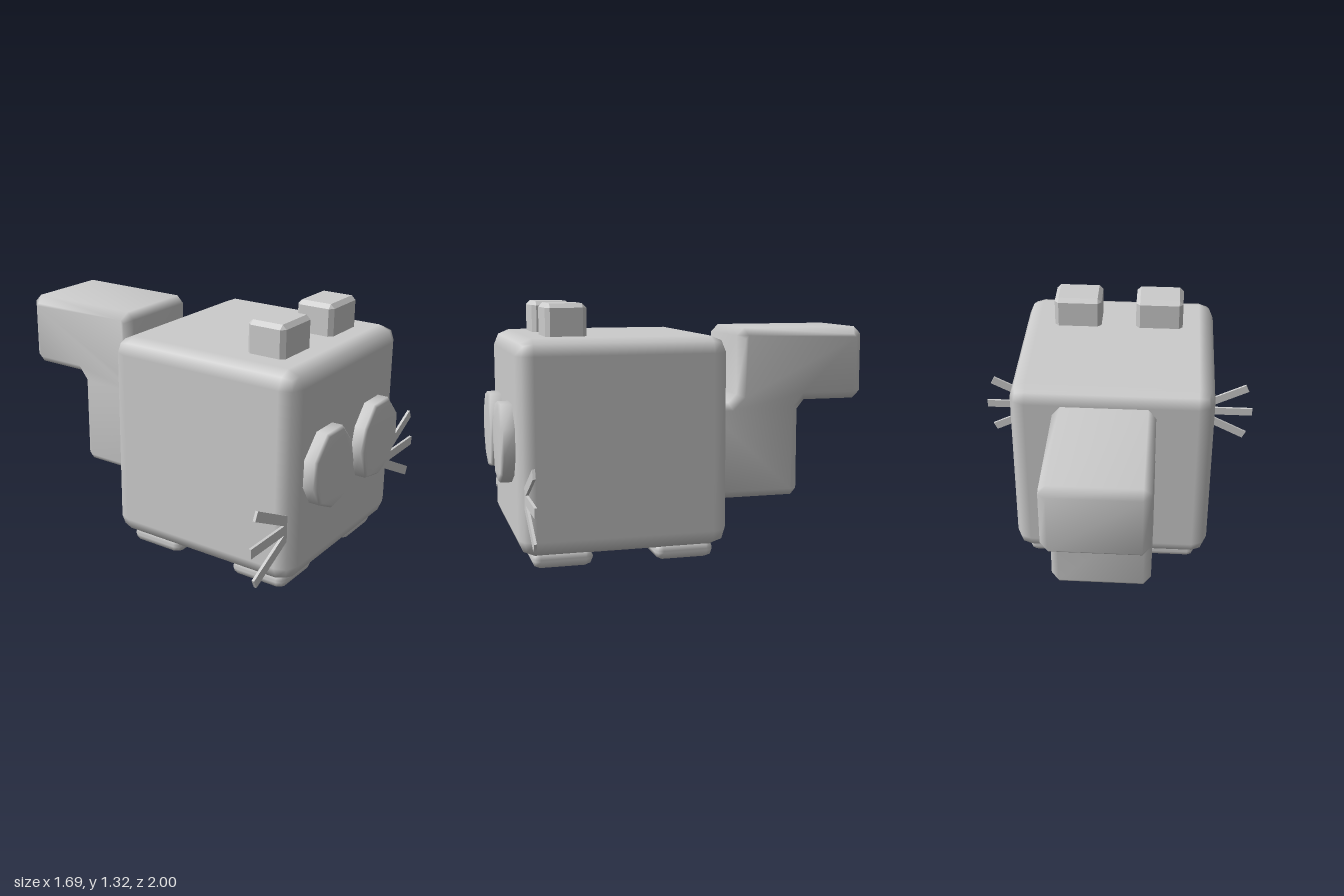
import * as THREE from 'three';
import { mergeVertices } from 'three/addons/utils/BufferGeometryUtils.js';
import { RoundedBoxGeometry } from 'three/addons/geometries/RoundedBoxGeometry.js';
import { ConvexGeometry } from 'three/addons/geometries/ConvexGeometry.js';

const MID = -0.012; // body centre line in x

// Bevelled extrusion that keeps its outline, with normals smoothed all over
function smoothExtrude(points, thickness, bevel) {
  const shape = new THREE.Shape(points.map(([x, y]) => new THREE.Vector2(x, y)));
  let geo = new THREE.ExtrudeGeometry(shape, {
    depth: thickness - 2 * bevel, bevelEnabled: true, bevelThickness: bevel,
    bevelSize: bevel, bevelOffset: -bevel, bevelSegments: 1,
  });
  geo.translate(0, 0, bevel - thickness / 2);
  geo.deleteAttribute('normal');
  geo.deleteAttribute('uv');
  geo = mergeVertices(geo, 1e-4);
  geo.computeVertexNormals();
  return geo;
}

// Box with flat 45 degree chamfers
function chamferBox(w, h, d, c) {
  const pts = [];
  for (const x of [-1, 1]) for (const y of [-1, 1]) for (const z of [-1, 1]) {
    for (let face = 0; face < 3; face++) {
      const s = [w, h, d].map((v, i) => v / 2 - (i === face ? 0 : c));
      pts.push(new THREE.Vector3(x * s[0], y * s[1], z * s[2]));
    }
  }
  return new ConvexGeometry(pts);
}

export function createModel() {
  const model = new THREE.Group();
  const grey = new THREE.MeshStandardMaterial({ color: 0xcccccc });
  grey.name = 'plain grey';

  const add = (name, geo, x, y, z) => {
    const mesh = new THREE.Mesh(geo, grey);
    mesh.name = name;
    mesh.position.set(x, y, z);
    model.add(mesh);
    return mesh;
  };

  // Cube body
  add('body', new RoundedBoxGeometry(1.085, 1.085, 1.08, 1, 0.085), MID, 0.6125, 0.39);

  // Stepped tail, profile as (z, y)
  const tail = smoothExtrude([
    [-0.08, 0.26], [-0.6, 0.26], [-0.63, 0.295], [-0.63, 0.735], [-0.67, 0.785],
    [-0.96, 0.785], [-1, 0.825], [-1, 1.14], [-0.96, 1.18], [-0.32, 1.18],
    [-0.28, 1.14], [-0.28, 0.825], [-0.235, 0.78], [-0.08, 0.78],
  ], 0.525, 0.04);
  tail.rotateY(-Math.PI / 2);
  add('tail', tail, 0.012, 0, 0);

  const ear = chamferBox(0.265, 0.25, 0.21, 0.022);
  const foot = new RoundedBoxGeometry(0.31, 0.09, 0.31, 1, 0.04);
  // Eye outline for the left side, measured from the centre line
  const eyeOutline = [
    [0.168, 0.82], [0.32, 0.82], [0.428, 0.71], [0.433, 0.57], [0.368, 0.467],
    [0.25, 0.41], [0.11, 0.437], [0.043, 0.595], [0.075, 0.72],
  ];

  for (const [side, s] of [['left', 1], ['right', -1]]) {
    add(side + 'Ear', ear, MID + s * 0.2305, 1.195, 0.655);

    const eye = smoothExtrude(eyeOutline.map(([x, y]) => [s * x, y]), 0.09, 0.014);
    add(side + 'Eye', eye, MID, 0, 0.955);

    add(side + 'FrontFoot', foot, MID + s * 0.322, 0.045, 0.705);
    add(side + 'BackFoot', foot, MID + s * 0.322, 0.045, 0.07);

    // Three whiskers fanning out from one point
    for (const [name, angle] of [['Upper', 0.46], ['Middle', 0], ['Lower', -0.46]]) {
      const geo = new THREE.BoxGeometry(0.395, 0.05, 0.014);
      geo.translate(0.1975, 0, 0);
      const whisker = add(side + name + 'Whisker', geo, s * 0.45, 0.378, 0.895);
      whisker.rotation.z = s > 0 ? angle : Math.PI - angle;
    }
  }
  return model;
}
